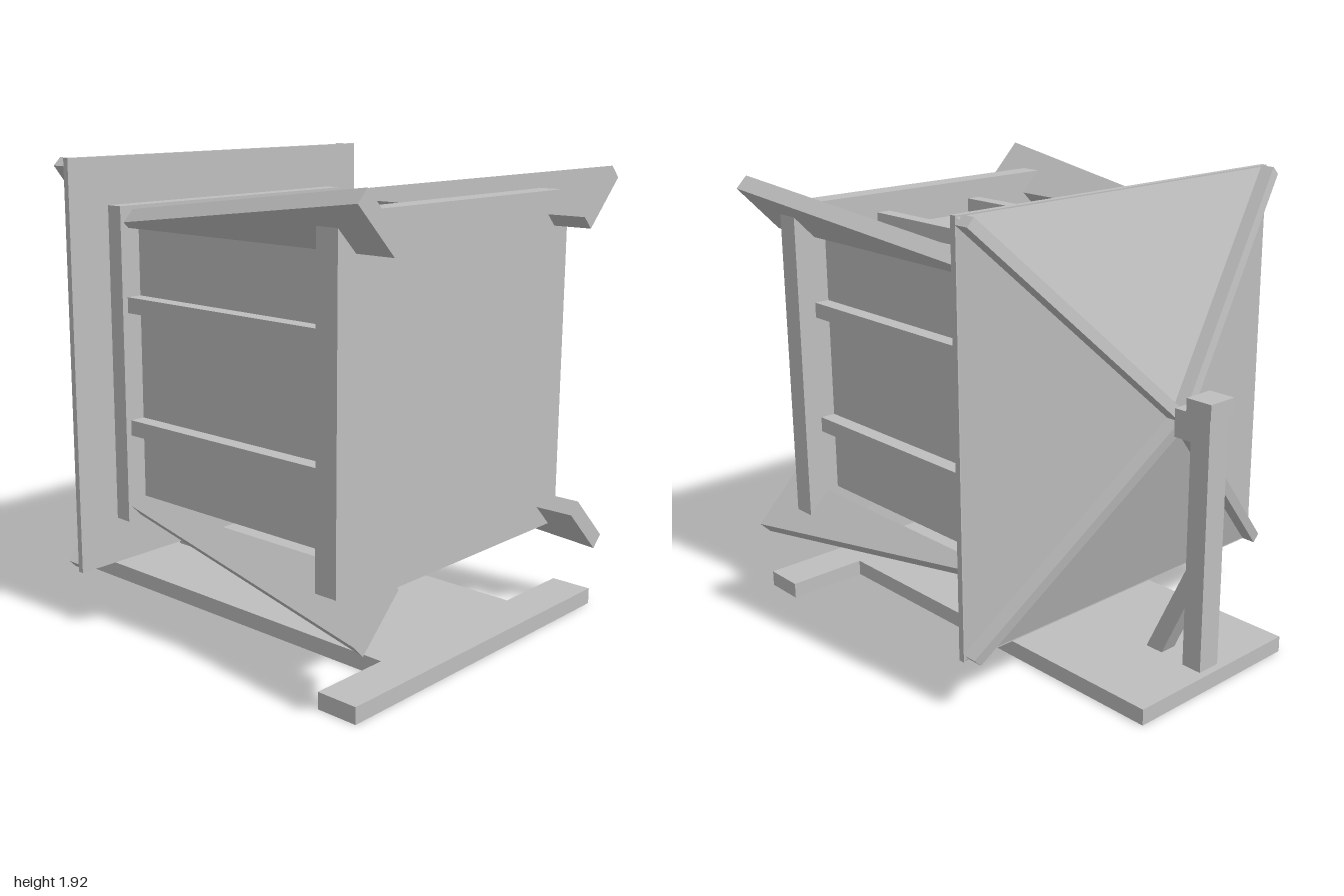
import * as THREE from 'three';

export function createModel() {
  const group = new THREE.Group();
  const grey = new THREE.MeshStandardMaterial({ color: 0xbebebe, name: 'plainGrey', flatShading: true });
  const CY = 1.072; // height of the body's axis

  function add(name, geometry) {
    const mesh = new THREE.Mesh(geometry, grey);
    mesh.name = name;
    group.add(mesh);
    return mesh;
  }

  // box given by its lower and upper limits on each axis
  function box(name, x0, x1, y0, y1, z0, z1) {
    const g = new THREE.BoxGeometry(x1 - x0, y1 - y0, z1 - z0);
    g.translate((x0 + x1) / 2, (y0 + y1) / 2, (z0 + z1) / 2);
    return add(name, g);
  }

  // square block around the body's axis
  const block = (name, half, z0, z1) => box(name, -half, half, CY - half, CY + half, z0, z1);

  // flat outline with a thickness centred on its plane
  function slab(points, thickness) {
    const shape = new THREE.Shape(points.map(([x, y]) => new THREE.Vector2(x, y)));
    const g = new THREE.ExtrudeGeometry(shape, { depth: thickness, bevelEnabled: false });
    return g.translate(0, 0, -thickness / 2);
  }

  // four copies of an outline in (corner offset, z), one on each diagonal
  function onDiagonals(name, points, thickness) {
    const outline = points.map(([d, z]) => [d * Math.SQRT2, z]);
    for (let i = 0; i < 4; i++) {
      const a = Math.PI / 4 + i * Math.PI / 2;
      const out = new THREE.Vector3(Math.cos(a), Math.sin(a), 0);
      const along = new THREE.Vector3(0, 0, 1);
      const side = new THREE.Vector3().crossVectors(out, along);
      const g = slab(outline, thickness);
      g.applyMatrix4(new THREE.Matrix4().makeBasis(out, along, side));
      g.translate(0, CY, 0);
      add(name, g);
    }
  }

  // body with its front and rear collars
  block('body', 0.565, -0.4, 0.78);
  block('frontPanel', 0.714, 0.73, 0.83);
  block('rearCollar', 0.658, -0.45, -0.375);
  block('backPlate', 0.852, -0.476, -0.45);

  // two slats on each of the four sides
  for (let side = 0; side < 4; side++) {
    for (const offset of [-0.257, 0.257]) {
      const g = new THREE.BoxGeometry(0.065, 0.09, 1.12);
      g.translate(offset, 0.587, 0.18);
      g.rotateZ(side * Math.PI / 2);
      g.translate(0, CY, 0);
      add('slat', g);
    }
  }

  // tapered corner fins
  onDiagonals('cornerFin', [[0.594, 1], [0.594, -0.375], [0.618, -0.375], [0.787, 1]], 0.07);

  // pyramid at the back with a rib along each edge
  const pyramid = new THREE.CylinderGeometry(0.015, 0.85 * Math.SQRT2, 0.27, 4, 1);
  pyramid.rotateY(Math.PI / 4).rotateX(-Math.PI / 2).translate(0, CY, -0.475 - 0.135);
  add('backPyramid', pyramid);
  onDiagonals('pyramidRib', [[0.006, -0.742], [0.006, -0.805], [0.836, -0.538], [0.836, -0.474]], 0.045);

  // stand: post, cap, arm and brace
  box('post', -0.053, 0.053, 0.05, 1.13, -0.968, -0.877);
  box('postCap', -0.067, 0.067, 1.13, 1.19, -0.982, -0.862);
  box('arm', -0.053, 0.053, 1.015, 1.13, -0.9, -0.795);
  const brace = slab([[0.667, 0.06], [0.75, 0.06], [0.88, 0.34], [0.88, 0.505]], 0.078);
  add('brace', brace.rotateY(Math.PI / 2));

  // T-shaped base
  const base = slab([
    [-0.418, 1], [-0.418, -0.8], [-0.775, -0.8], [-0.775, -0.98],
    [0.775, -0.98], [0.775, -0.8], [0.418, -0.8], [0.418, 1],
  ], 0.068);
  add('base', base.rotateX(-Math.PI / 2).translate(0, 0.034, 0));

  return group;
}
